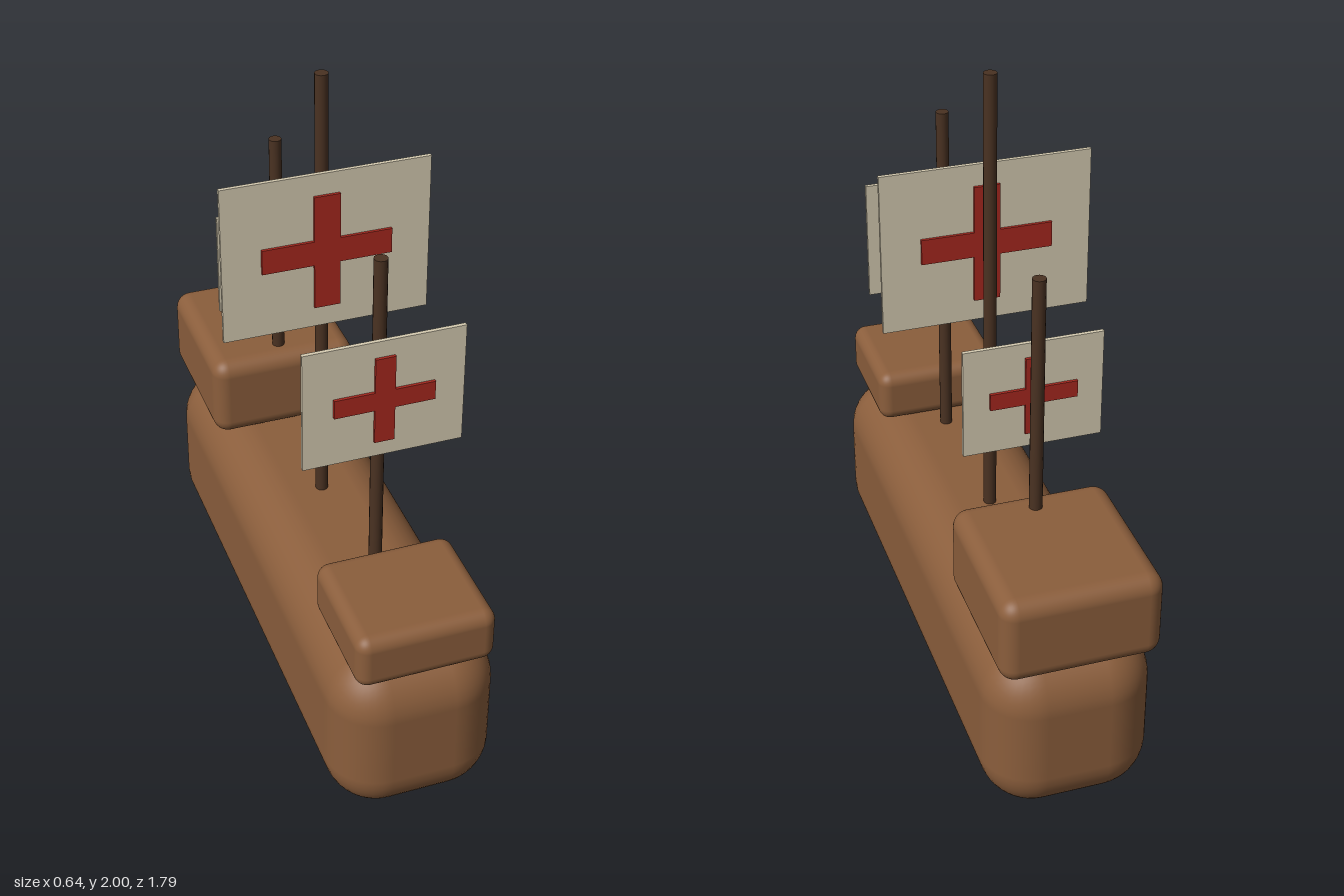
import * as THREE from 'three';
import { RoundedBoxGeometry } from 'three/addons/geometries/RoundedBoxGeometry.js';

const material = (name, color) => {
  const m = new THREE.MeshStandardMaterial({ color });
  m.name = name;
  return m;
};

export function createModel() {
  const wood = material('hull wood', 0x8b5e3c);
  const darkWood = material('mast wood', 0x4a3222);
  const canvas = material('sail canvas', 0xd6ccb2);
  const red = material('cross red', 0xa8281f);

  const ship = new THREE.Group();
  ship.name = 'sailingShip';

  const add = (parent, name, geometry, mat, x, y, z) => {
    const mesh = new THREE.Mesh(geometry, mat);
    mesh.name = name;
    mesh.position.set(x, y, z);
    parent.add(mesh);
  };

  // Rounded block standing on height y0, running from z0 to z1
  const block = (name, width, y0, y1, z0, z1, radius) =>
    add(ship, name, new RoundedBoxGeometry(width, y1 - y0, z1 - z0, 5, radius), wood,
      0, (y0 + y1) / 2, (z0 + z1) / 2);

  block('hull', 0.51, 0, 0.55, -0.88, 0.895, 0.16);
  block('aftCastle', 0.48, 0.55, 0.825, -0.895, -0.382, 0.05);
  block('foreCastle', 0.42, 0.55, 0.725, 0.51, 0.895, 0.04);

  // Mast with a flat square sail in front, a cross on both faces of the sail
  const rig = (name, z, top, width, height, sailY) => {
    const group = new THREE.Group();
    group.name = name;
    group.position.z = z;
    ship.add(group);

    const base = 0.53, sailZ = 0.04, sailT = 0.012, plateT = 0.009;
    add(group, 'mast', new THREE.CylinderGeometry(0.02, 0.02, top - base, 16), darkWood,
      0, (top + base) / 2, 0);
    add(group, 'sail', new THREE.BoxGeometry(width, height, sailT), canvas, 0, sailY, sailZ);

    // Cross outline, cut from one thin plate
    const a = width * 0.0625, w = width * 0.3125, h = height * 0.365;
    const outline = [[a, h], [-a, h], [-a, a], [-w, a], [-w, -a], [-a, -a],
      [-a, -h], [a, -h], [a, -a], [w, -a], [w, a], [a, a]];
    const shape = new THREE.Shape(outline.map(([x, y]) => new THREE.Vector2(x, y)));
    const cross = new THREE.ExtrudeGeometry(shape, { depth: plateT, bevelEnabled: false });
    add(group, 'frontCross', cross, red, 0, sailY, sailZ + sailT / 2);
    add(group, 'backCross', cross, red, 0, sailY, sailZ - sailT / 2 - plateT);
  };

  rig('foreRig', 0.46, 1.68, 0.48, 0.385, 1.252);
  rig('mainRig', -0.025, 2, 0.64, 0.51, 1.455);
  rig('aftRig', -0.462, 1.58, 0.415, 0.34, 1.19);

  return ship;
}
